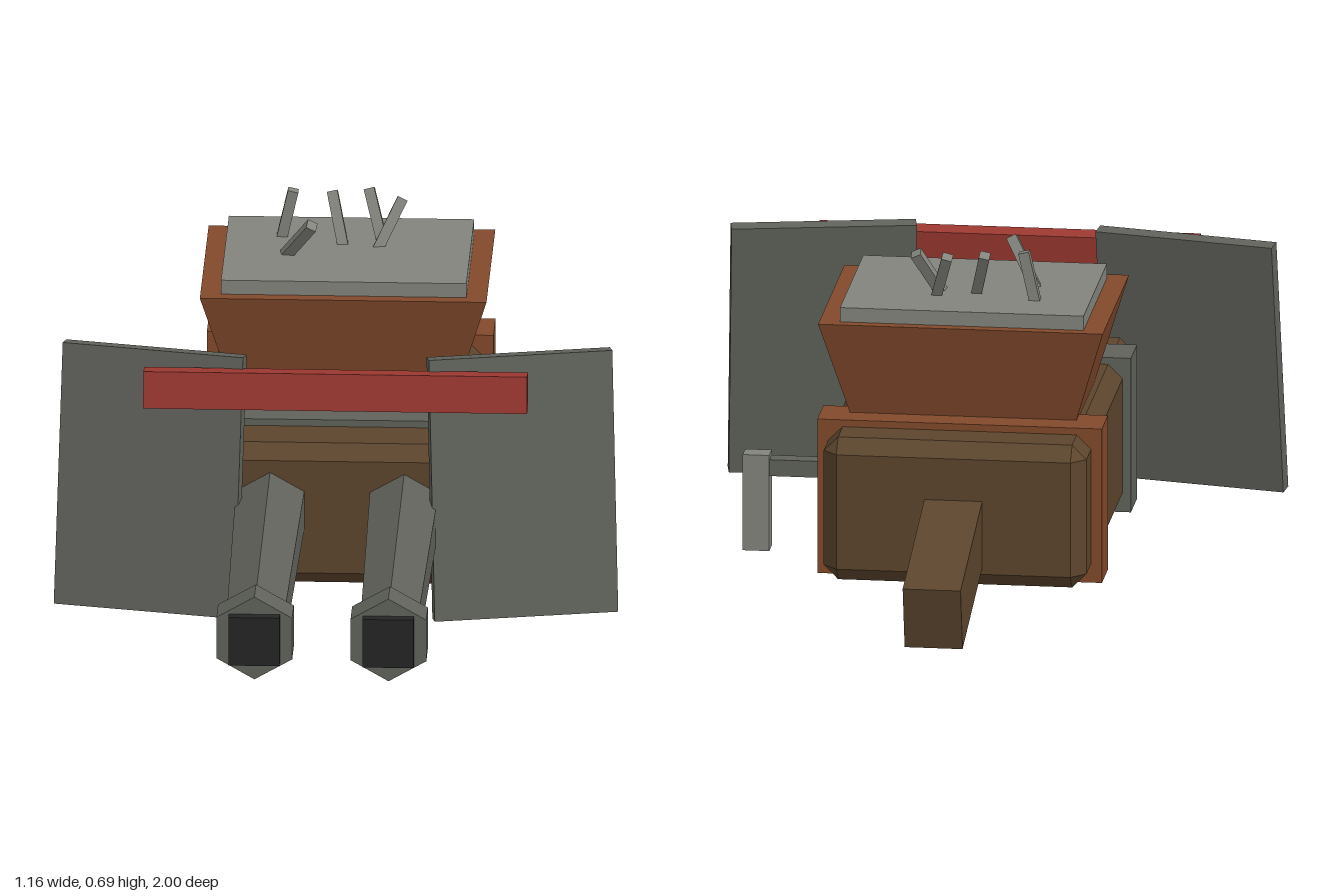
import * as THREE from 'three';
import { ConvexGeometry } from 'three/addons/geometries/ConvexGeometry.js';

const mat = (name, color) => {
  const m = new THREE.MeshStandardMaterial({ color });
  m.name = name;
  return m;
};

// Split faces so every facet is flat
function faceted(geometry) {
  const g = geometry.toNonIndexed();
  g.computeVertexNormals();
  return g;
}

// Box with every edge cut at 45 degrees
function chamferBox(w, h, d, c) {
  const points = [];
  for (const sx of [-1, 1]) for (const sy of [-1, 1]) for (const sz of [-1, 1]) {
    const x = sx * w / 2, y = sy * h / 2, z = sz * d / 2;
    points.push(
      new THREE.Vector3(x, y - sy * c, z - sz * c),
      new THREE.Vector3(x - sx * c, y, z - sz * c),
      new THREE.Vector3(x - sx * c, y - sy * c, z));
  }
  return new ConvexGeometry(points);
}

// Six-sided turned shape along z, from [radius, z] pairs
function hexTurned(profile) {
  const points = profile.map(([r, z]) => new THREE.Vector2(r, z));
  return faceted(new THREE.LatheGeometry(points, 6).rotateX(Math.PI / 2));
}

export function createModel() {
  const model = new THREE.Group();
  const wood = mat('dark wood', 0x5c452d);
  const rust = mat('rust', 0x82492b);
  const steel = mat('dark steel', 0x60625b);
  const pale = mat('pale metal', 0x83847d);
  const red = mat('red paint', 0x9c3831);
  const black = mat('black', 0x252525);

  const add = (name, geometry, material, x, y, z) => {
    const mesh = new THREE.Mesh(geometry, material);
    mesh.name = name;
    mesh.position.set(x, y, z);
    model.add(mesh);
    return mesh;
  };
  const box = (name, w, h, d, material, x, y, z) =>
    add(name, new THREE.BoxGeometry(w, h, d), material, x, y, z);

  // Body, straps and rear stock
  add('body', chamferBox(0.545, 0.305, 0.85, 0.03), wood, 0, 0.193, -0.215);
  box('frontStrap', 0.58, 0.33, 0.1, steel, 0, 0.195, 0.033);
  box('rearStrap', 0.59, 0.33, 0.1, rust, 0, 0.195, -0.485);
  box('stock', 0.12, 0.138, 0.42, wood, 0, 0.122, -0.777).rotation.x = -0.24;

  // Hopper, wider at the top, with its lid
  const hopper = new THREE.CylinderGeometry(Math.SQRT1_2, Math.SQRT1_2 * 0.77, 0.225, 4);
  hopper.rotateY(Math.PI / 4).scale(0.59, 1, 0.435);
  add('hopper', faceted(hopper), rust, 0, 0.447, -0.305);
  box('hopperLid', 0.505, 0.04, 0.385, pale, 0, 0.57, -0.307);

  // Loose scrap rods standing on the lid: base x, z then tip x, y, z
  const rods = [
    [-0.14, -0.39, -0.115, 0.69, -0.387],
    [-0.01, -0.345, -0.035, 0.683, -0.4],
    [0.07, -0.37, 0.04, 0.683, -0.42],
    [0.06, -0.335, 0.11, 0.677, -0.38],
    [-0.13, -0.29, -0.07, 0.672, -0.225],
  ];
  for (const [bx, bz, tx, ty, tz] of rods) {
    const base = new THREE.Vector3(bx, 0.58, bz);
    const dir = new THREE.Vector3(tx, ty, tz).sub(base);
    const rod = box('scrapRod', 0.022, dir.length(), 0.022, pale, 0, 0, 0);
    rod.position.copy(base).addScaledVector(dir, 0.5);
    rod.quaternion.setFromUnitVectors(new THREE.Vector3(0, 1, 0), dir.normalize());
  }

  // Side crank
  box('crankShaft', 0.18, 0.035, 0.035, steel, 0.33, 0.225, -0.428);
  box('crankHandle', 0.055, 0.205, 0.042, pale, 0.433, 0.15, -0.428);

  // Paired barrels and angled shield plates
  const barrel = hexTurned([[0, 0.18], [0.082, 0.18], [0.069, 0.9], [0, 0.9]]);
  const muzzle = hexTurned([[0, 0.885], [0.074, 0.885], [0.09, 0.902], [0.09, 0.978], [0, 0.978]]);
  for (const side of [-1, 1]) {
    add('barrel', barrel, steel, side * 0.138, 0.208, 0);
    add('muzzle', muzzle, steel, side * 0.138, 0.208, 0);
    box('bore', 0.105, 0.105, 0.1, black, side * 0.138, 0.208, 0.95);
    const shield = box('shieldPlate', 0.382, 0.55, 0.032, steel, side * 0.383, 0.285, 0.2475);
    shield.rotation.set(-0.14, side * 0.2, 0, 'YXZ');
  }

  // Crossbar joining the shields
  box('shieldCrossbar', 0.79, 0.078, 0.042, red, 0, 0.498, 0.283).rotation.x = -0.12;

  return model;
}
